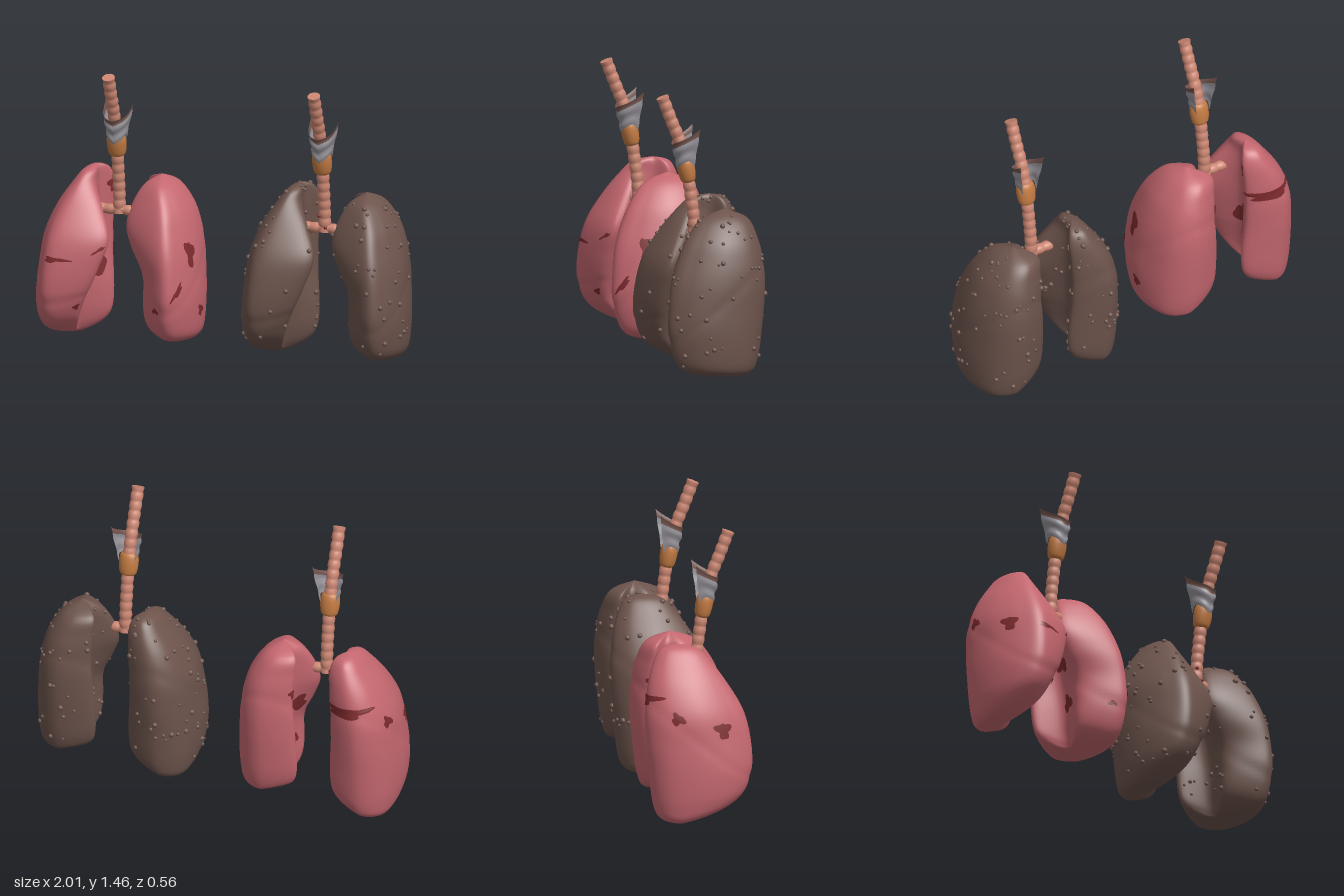
import * as THREE from 'three';
import { mergeVertices, mergeGeometries } from 'three/addons/utils/BufferGeometryUtils.js';

const mat = (name, color, side = THREE.FrontSide) => {
  const m = new THREE.MeshStandardMaterial({ color, side });
  m.name = name;
  return m;
};
const pink = mat('healthy pink', 0xc4676f);
const brown = mat('tarred brown', 0x6d544c);
const red = mat('dark red', 0x7c2a2d, THREE.DoubleSide);
const flesh = mat('airway flesh', 0xcb8672);
const grey = mat('cartilage grey', 0x97949a, THREE.DoubleSide);
const orange = mat('cricoid orange', 0xc27a42);
const umber = mat('ligament umber', 0x76564f, THREE.DoubleSide);

function add(parent, name, geometry, material) {
  const m = new THREE.Mesh(geometry, material);
  m.name = name;
  parent.add(m);
  return m;
}

function smooth(geo) {
  geo.deleteAttribute('uv');
  geo.deleteAttribute('normal');
  const g = mergeVertices(geo, 1e-5);
  g.computeVertexNormals();
  return g;
}

// Grid surface from a function of s (around) and t (along)
function surface(f, ns, nt, flip = false) {
  const pos = [], index = [];
  for (let i = 0; i <= ns; i++)
    for (let j = 0; j <= nt; j++) pos.push(...f((i === ns && f.closed ? 0 : i / ns), j / nt).toArray());
  for (let i = 0; i < ns; i++)
    for (let j = 0; j < nt; j++) {
      const a = i * (nt + 1) + j, b = a + 1, c = a + nt + 1, d = c + 1;
      index.push(...(flip ? [a, c, b, b, c, d] : [a, b, c, b, d, c]));
    }
  const g = new THREE.BufferGeometry();
  g.setAttribute('position', new THREE.Float32BufferAttribute(pos, 3));
  g.setIndex(index);
  return smooth(g);
}

// Each lung: its side, depths of the front edge, hilum and back edge, tilt of the base, and cross-sections of
// y, outer, front edge, hilum, back edge (distance from midline), front z, back z
const RIGHT = { side: -1, depths: [.66, -.1, -.66], tilt: .22, rows: [
  [.012, .33, .33, .33, .33, -.1, -.1],
  [.004, .375, .265, .265, .23, .03, -.165],
  [.028, .405, .22, .25, .155, .14, -.21],
  [.075, .422, .19, .24, .115, .21, -.232],
  [.15, .434, .165, .225, .1, .25, -.245],
  [.28, .438, .12, .205, .1, .275, -.258],
  [.42, .428, .06, .19, .11, .27, -.272],
  [.57, .41, .014, .17, .11, .235, -.275],
  [.71, .352, .075, .155, .105, .155, -.255],
  [.82, .278, .14, .15, .1, .075, -.22],
  [.885, .225, .15, .15, .122, .01, -.175],
  [.907, .17, .17, .17, .17, -.09, -.09],
] };
const LEFT = { side: 1, depths: [.42, -.22, -.7], tilt: .04, rows: [
  [.05, .29, .29, .29, .29, -.04, -.04],
  [.043, .365, .23, .24, .2, .08, -.15],
  [.058, .402, .185, .23, .135, .16, -.2],
  [.095, .425, .16, .22, .1, .205, -.222],
  [.17, .435, .148, .205, .086, .235, -.24],
  [.28, .439, .148, .195, .084, .255, -.253],
  [.4, .432, .14, .185, .09, .25, -.265],
  [.52, .422, .08, .17, .098, .235, -.27],
  [.63, .4, .04, .15, .105, .2, -.263],
  [.74, .36, .06, .14, .1, .145, -.24],
  [.84, .285, .115, .14, .1, .06, -.195],
  [.89, .195, .195, .195, .195, -.07, -.07],
] };

// Returns the skin of one lung as a function of s and t
function lungSkin({ side, depths, tilt, rows }) {
  const columns = rows[0].map((_, k) => new THREE.SplineCurve(rows.map(r => new THREE.Vector2(r[k], 0))));
  const [front, hilum, back] = depths;
  const skin = (s, t) => {
    const [y, o, f, h, b, zf, zb] = columns.map(c => c.getPoint(t).x);
    const zc = (zf + zb) / 2, d = (zf - zb) / 2, m = o * .6 + (f + b) * .2;
    const loop = [[o, 0], [o - (o - f) * .12, .66], [m, 1], [f + (m - f) * .04, front],
      [h, hilum], [b, back], [(o + b) / 2, -1], [o - (o - b) * .12, -.7]];
    const p = new THREE.CatmullRomCurve3(
      loop.map(([u, k]) => new THREE.Vector3(u, y, zc + d * k)), true, 'catmullrom').getPoint(s);
    // shallow oblique fissure, and a base that rises towards the midline and the front
    const groove = 1 - .016 * Math.exp(-(((y - .42 + p.z * .8) / .035) ** 2));
    p.x = m + (p.x - m) * groove;
    p.z = zc + (p.z - zc) * groove;
    p.y += (.3 * Math.max(0, .28 - p.x) + tilt * Math.max(0, p.z + .1)) * Math.max(0, 1 - y / .3);
    p.x *= side;
    return p;
  };
  skin.closed = true;
  skin.normal = (s, t) => {
    const e = .004;
    const ds = skin((s + e) % 1, t).sub(skin((s - e + 1) % 1, t));
    const dt = skin(s, t + e).sub(skin(s, t - e));
    return dt.cross(ds).multiplyScalar(side).normalize();
  };
  return skin;
}

// Irregular blotch lying on the skin
function blotch(skin, [s0, t0, rs, rt, shear = 0], seed) {
  return surface((a, r) => {
    const q = a * Math.PI * 2;
    const w = r * (1 + .25 * Math.sin(3 * q + seed) + .15 * Math.sin(5 * q + seed * 2));
    const s = (s0 + rs * w * Math.cos(q) + 1) % 1;
    const t = t0 + rt * w * Math.sin(q) + shear * w * Math.cos(q);
    return skin(s, t).addScaledVector(skin.normal(s, t), .005);
  }, 32, 6);
}
const RIGHT_BLOTCHES = [[.08, .59, .028, .024], [.25, .576, .04, .008], [.35, .607, .015, .006, .01],
  [.35, .385, .011, .017], [.735, .68, .12, .018, .008], [.93, .63, .022, .018],
  [.53, .53, .05, .05], [.59, .79, .03, .03]];
const LEFT_BLOTCHES = [[.08, .64, .024, .05, .01], [.17, .5, .03, .016, -.028], [.285, .415, .014, .011],
  [.02, .4, .02, .024], [.62, .74, .02, .02], [.46, .62, .04, .035], [.46, .45, .03, .035]];

function seeded(seed) {
  return () => (seed = (seed * 16807) % 2147483647) / 2147483647;
}
const bead = (p, r) => new THREE.SphereGeometry(r, 10, 8).translate(p.x, p.y, p.z);

function lung(parent, name, shape, blotches, sick) {
  const skin = lungSkin(shape);
  add(parent, name, surface(skin, 72, 66, shape.side < 0), sick ? brown : pink);
  if (sick) {
    const rnd = seeded(shape.side > 0 ? 4211 : 977);
    const beads = [];
    for (let i = 0; i < 85; i++) beads.push(bead(skin(rnd(), .27 + .68 * rnd()), .007 + .008 * rnd()));
    add(parent, name + 'Nodules', mergeGeometries(beads), brown);
  } else {
    blotches.forEach((b, i) => add(parent, name + 'Blotch', blotch(skin, b, i * 1.7), red));
  }
}

// Tube whose radius swells at each cartilage ring
function ringedTube(points, radius, rings) {
  const curve = new THREE.CatmullRomCurve3(points.map(p => new THREE.Vector3(...p)));
  const n = rings * 8;
  const g = new THREE.TubeGeometry(curve, n, 1, 16);
  const P = g.attributes.position, N = g.attributes.normal;
  for (let i = 0; i < P.count; i++) {
    const t = Math.floor(i / 17) / n;
    const k = radius * (.9 + .14 * Math.abs(Math.cos(t * rings * Math.PI))) - 1;
    P.setXYZ(i, P.getX(i) + N.getX(i) * k, P.getY(i) + N.getY(i) * k, P.getZ(i) + N.getZ(i) * k);
  }
  return { geometry: smooth(g), curve };
}

function airway(parent) {
  const { geometry, curve } = ringedTube([[0, .69, .03], [0, .8, .035], [0, .92, .05], [0, 1.05, .07],
    [0, 1.2, .105], [0, 1.34, .16], [0, 1.45, .202]], .032, 16);
  add(parent, 'trachea', geometry, flesh);
  const cap = add(parent, 'tracheaEnd', new THREE.CircleGeometry(.0333, 16), flesh);
  cap.position.copy(curve.getPoint(1));
  cap.quaternion.setFromUnitVectors(new THREE.Vector3(0, 0, 1), curve.getTangent(1));
  for (const s of [-1, 1]) {
    add(parent, 'bronchus', ringedTube([[0, .71, .032], [s * .05, .705, .03], [s * .11, .705, .025],
      [s * .2, .695, .01]], .027, 4).geometry, flesh);
  }

  // Larynx: cricoid collar below, open-backed shield above with a dark upper rim and horns
  const collar = [[.03, -.065], [.043, -.055], [.05, -.025], [.052, .015], [.046, .048], [.03, .062]];
  const profile = new THREE.SplineCurve(collar.map(p => new THREE.Vector2(...p))).getPoints(16);
  const cricoid = add(parent, 'cricoid', new THREE.LatheGeometry(profile, 28), orange);
  cricoid.scale.z = .86;
  cricoid.position.set(0, 1.068, .075);
  cricoid.rotation.x = .18;
  const shield = (v0, v1) => (s, t) => {
    const v = v0 + (v1 - v0) * t, k = Math.abs(2 * s - 1), a = (2 * s - 1) * 2.2;
    const y = THREE.MathUtils.lerp(1.072 + .075 * k - .065 * k ** 6, 1.2 + .05 * k + .04 * k ** 4, v);
    const chevron = 1 + .07 * Math.sin(v * Math.PI * 4) * (1 - k * .6);
    return new THREE.Vector3(
      Math.sin(a) * (.05 + .016 * v + .03 * v * k ** 6) * chevron,
      y,
      .075 + .1 * (y - 1.1) - .035 * v * k ** 4 + Math.cos(a) * (.05 + .016 * v) * chevron);
  };
  add(parent, 'thyroidCartilage', surface(shield(0, .8), 40, 24), grey);
  add(parent, 'upperRim', surface(shield(.8, 1), 40, 6), umber);
}

function lungSet(name, x, sick) {
  const set = new THREE.Group();
  set.name = name;
  set.position.x = x;
  lung(set, 'rightLung', RIGHT, RIGHT_BLOTCHES, sick);
  lung(set, 'leftLung', LEFT, LEFT_BLOTCHES, sick);
  airway(set);
  if (sick) {
    const spots = [[-.022, .775, .058], [.012, .715, .059]].map(p => bead(new THREE.Vector3(...p), .009));
    add(set, 'airwaySpots', mergeGeometries(spots), red);
  }
  return set;
}

export function createModel() {
  const model = new THREE.Group();
  model.name = 'lungComparison';
  model.add(lungSet('healthyLungs', -.563, false), lungSet('diseasedLungs', .557, true));
  return model;
}
